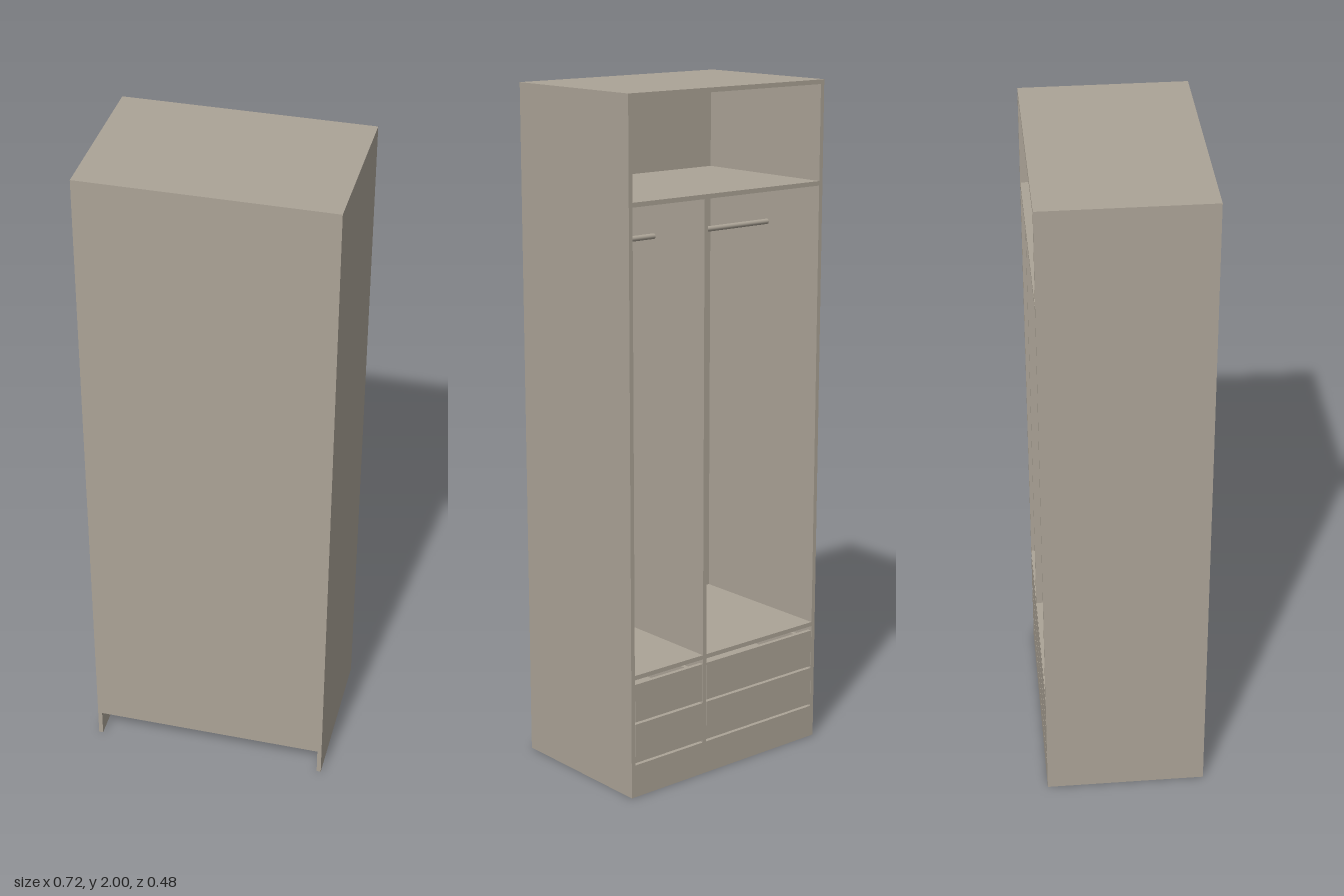
import * as THREE from 'three';

export function createModel() {
  const model = new THREE.Group();
  model.name = 'wardrobe';
  const board = new THREE.MeshStandardMaterial({ color: 0xaba396 });
  board.name = 'taupe board';

  const W = 0.36, D = 0.24, H = 2, T = 0.013; // half width, half depth, height, board thickness
  const inner = W - T;                        // inside face of the side panels
  const back = D - 0.008;                     // inside face of the closing panel
  const divX = 0.085;                         // centre of the divider

  // Board given by its extents on each axis
  function panel(name, [x0, x1], [y0, y1], [z0, z1], parent = model) {
    const mesh = new THREE.Mesh(new THREE.BoxGeometry(x1 - x0, y1 - y0, z1 - z0), board);
    mesh.position.set((x0 + x1) / 2, (y0 + y1) / 2, (z0 + z1) / 2);
    mesh.name = name;
    parent.add(mesh);
  }

  // Carcass, open towards -z
  panel('leftSide', [inner, W], [0, H - T], [-D, D]);
  panel('rightSide', [-W, -inner], [0, H - T], [-D, D]);
  panel('topPanel', [-W, W], [H - T, H], [-D, D]);
  panel('closingPanel', [-inner, inner], [0.085, H - T], [back, D]);
  panel('bottomPanel', [-inner, inner], [0.085, 0.098], [-D, back]);
  panel('plinth', [-inner, inner], [0, 0.085], [-D, -D + T]);

  // Interior shelves and divider
  panel('upperShelf', [-inner, inner], [1.698, 1.711], [-D, back]);
  panel('drawerDeck', [-inner, inner], [0.357, 0.37], [-D, back]);
  panel('upperDivider', [divX - T / 2, divX + T / 2], [0.37, 1.698], [-D, back]);
  panel('lowerDivider', [divX - T / 2, divX + T / 2], [0.098, 0.357], [-D, back]);

  // Each bay has a hanging rail and two drawers
  const bays = [[-inner, divX - T / 2], [divX + T / 2, inner]];
  const rows = [[0.105, 0.222], [0.229, 0.343]];
  for (const [x0, x1] of bays) {
    const rail = new THREE.Mesh(new THREE.CylinderGeometry(0.008, 0.008, x1 - x0, 20), board);
    rail.rotation.z = Math.PI / 2;
    rail.position.set((x0 + x1) / 2, 1.57, -0.022);
    rail.name = 'hangingRail';
    model.add(rail);

    for (const [y0, y1] of rows) {
      const drawer = new THREE.Group();
      drawer.name = 'drawer';
      model.add(drawer);
      const a = x0 + 0.012, b = x1 - 0.012, z0 = -D + T, z1 = 0.19;
      const wall = [y0 + 0.01, y1 - 0.02];
      panel('drawerFront', [x0 + 0.001, x1 - 0.001], [y0, y1], [-D, z0], drawer);
      panel('drawerSide', [a, a + T], wall, [z0, z1], drawer);
      panel('drawerSide', [b - T, b], wall, [z0, z1], drawer);
      panel('drawerEnd', [a + T, b - T], wall, [z1 - T, z1], drawer);
      panel('drawerBase', [a + T, b - T], [y0 + 0.01, y0 + 0.016], [z0, z1 - T], drawer);
    }
  }
  return model;
}
